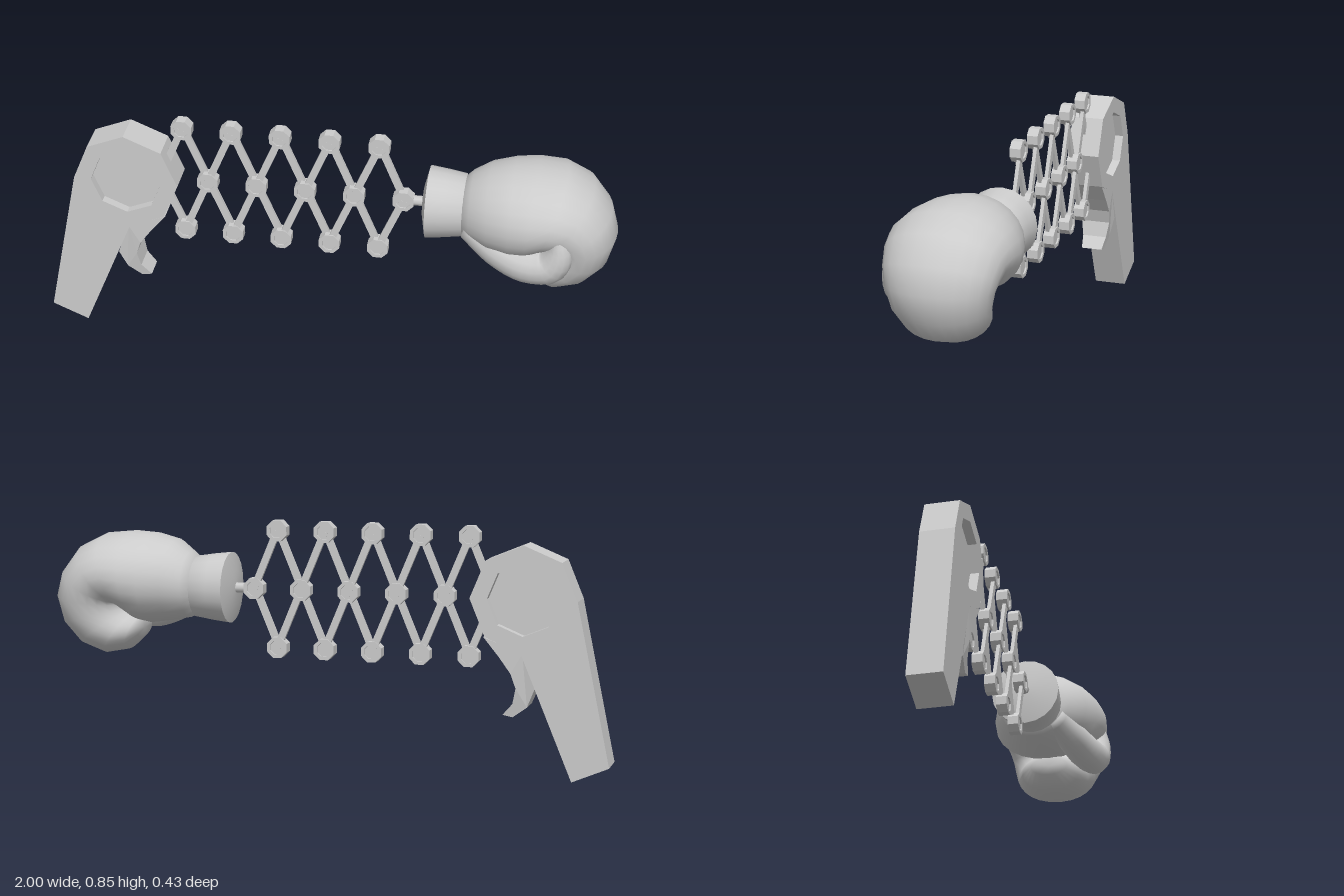
import * as THREE from 'three';

const mat = new THREE.MeshStandardMaterial({ color: 0xcccccc });
const ZC = -0.018; // depth centre of gun and lattice

function add(parent, geo, name, x = 0, y = 0, z = 0) {
  const m = new THREE.Mesh(geo, mat);
  m.name = name;
  m.position.set(x, y, z);
  parent.add(m);
  return m;
}

function ngon(r, n, turn, cx = 0, cy = 0) {
  return Array.from({ length: n }, (_, i) => {
    const a = turn + (i / n) * Math.PI * 2;
    return new THREE.Vector2(cx + r * Math.cos(a), cy + r * Math.sin(a));
  });
}

// Extrusion centred on z = 0
function slab(points, depth, hole) {
  const s = new THREE.Shape(points);
  if (hole) s.holes.push(new THREE.Path(hole));
  const g = new THREE.ExtrudeGeometry(s, { depth, bevelEnabled: false });
  g.translate(0, 0, -depth / 2);
  return g;
}

// Smooth closed skin over a list of rings
function loft(rings) {
  const n = rings[0].length, pos = [], idx = [];
  rings.forEach(r => r.forEach(p => pos.push(p.x, p.y, p.z)));
  for (let i = 0; i < rings.length - 1; i++) {
    for (let j = 0; j < n; j++) {
      const a = i * n + j, b = i * n + (j + 1) % n;
      idx.push(a, b, a + n, b, b + n, a + n);
    }
  }
  [0, rings.length - 1].forEach((ri, end) => {
    const c = rings[ri].reduce((s, p) => s.add(p), new THREE.Vector3()).divideScalar(n);
    const ci = pos.length / 3;
    pos.push(c.x, c.y, c.z);
    for (let j = 0; j < n; j++) {
      const a = ri * n + j, b = ri * n + (j + 1) % n;
      if (end) idx.push(ci, a, b); else idx.push(ci, b, a);
    }
  });
  const g = new THREE.BufferGeometry();
  g.setAttribute('position', new THREE.Float32BufferAttribute(pos, 3));
  g.setIndex(idx);
  g.computeVertexNormals();
  return g;
}

function buildGun() {
  const gun = new THREE.Group();
  gun.name = 'gun';
  const cx = -0.7, cy = 0.612, depth = 0.118;
  // Octagonal head running into the slanted handle
  const v = ngon(0.184, 8, -Math.PI / 4, cx, cy).slice(0, 7);
  v[6] = new THREE.Vector2(-0.694, 0.43);
  v.splice(6, 0, new THREE.Vector2(-1, 0.055), new THREE.Vector2(-0.873, 0));
  add(gun, slab(v, depth, ngon(0.124, 8, 0, cx, cy)), 'headAndHandle', 0, 0, ZC);
  // Floor of the recess on both faces
  add(gun, slab(ngon(0.126, 8, 0, cx, cy), 0.056), 'recessFloor', 0, 0, ZC);
  // Hooked trigger, narrowing towards its tip
  const t = [[-0.565, 0.482], [-0.62, 0.415], [-0.66, 0.36], [-0.677, 0.31], [-0.665, 0.255], [-0.63, 0.215],
    [-0.665, 0.208], [-0.715, 0.245], [-0.742, 0.31], [-0.7, 0.43]].map(p => new THREE.Vector2(...p));
  const g = slab(t, 2);
  const p = g.attributes.position;
  for (let i = 0; i < p.count; i++) {
    const k = THREE.MathUtils.clamp((p.getY(i) - 0.21) / 0.13, 0, 1);
    p.setZ(i, p.getZ(i) * (0.038 + 0.0205 * k));
  }
  g.computeVertexNormals();
  add(gun, g, 'trigger', 0, 0, ZC);
  return gun;
}

function buildLattice() {
  const lattice = new THREE.Group();
  lattice.name = 'scissorLattice';
  const x0 = -0.59, y0 = 0.611, step = 0.171, rise = 0.205;
  const length = Math.hypot(step / 2, rise);
  const bar = new THREE.BoxGeometry(length, 0.025, 0.013);
  const ring = slab(ngon(0.039, 8, Math.PI / 8), 0.039, ngon(0.026, 8, Math.PI / 8));
  const pin = slab(ngon(0.027, 8, Math.PI / 8), 0.027);
  const joint = (x, y) => {
    add(lattice, ring, 'jointRing', x, y, ZC);
    add(lattice, pin, 'jointPin', x, y, ZC);
  };
  for (let i = 0; i < 6; i++) {
    const x = x0 + i * step;
    if (i > 0) joint(x, y0);
    for (const sy of [-1, 1]) {
      if (i < 5) joint(x + step / 2, y0 + sy * rise);
      for (const sx of [-1, 1]) {
        if ((i === 0 && sx < 0) || (i === 5 && sx > 0)) continue;
        const b = add(lattice, bar, 'bar', x + sx * step / 4, y0 + sy * rise / 2, ZC + sx * sy * 0.0075);
        b.rotation.z = Math.atan2(sy * rise, sx * step / 2);
      }
    }
  }
  // Rod joining the last joint to the glove
  const rod = new THREE.CylinderGeometry(0.018, 0.018, 0.07, 8);
  rod.rotateZ(Math.PI / 2);
  add(lattice, rod, 'gloveRod', 0.325, y0, ZC);
  return lattice;
}

function buildGlove() {
  const glove = new THREE.Group();
  glove.name = 'boxingGlove';
  // Flared cuff
  const V = (x, y) => new THREE.Vector2(x, y);
  const wall = new THREE.LatheGeometry([V(0.125, 0), V(0.118, 0.06), V(0.108, 0.125), V(0.085, 0.135)], 20);
  const back = new THREE.LatheGeometry([V(0, -0.018), V(0.06, -0.015), V(0.125, 0)], 20);
  for (const [g, name] of [[wall, 'cuff'], [back, 'cuffBack']]) {
    g.rotateZ(-Math.PI / 2);
    add(glove, g, name, 0.35, 0.611, -0.02);
  }
  // Mitten curling over to the fingertips: outer x, y, inner x, y, half width
  const stations = [
    [0.46, 0.70, 0.46, 0.52, 0.09], [0.50, 0.735, 0.50, 0.50, 0.13], [0.56, 0.775, 0.57, 0.485, 0.172],
    [0.64, 0.795, 0.64, 0.475, 0.198], [0.72, 0.80, 0.69, 0.485, 0.21], [0.82, 0.79, 0.72, 0.51, 0.21],
    [0.91, 0.745, 0.735, 0.53, 0.2], [0.975, 0.66, 0.74, 0.54, 0.19], [1.0, 0.57, 0.74, 0.54, 0.178],
    [0.975, 0.47, 0.735, 0.53, 0.165], [0.91, 0.395, 0.725, 0.52, 0.15], [0.82, 0.36, 0.71, 0.51, 0.135],
    [0.74, 0.375, 0.69, 0.50, 0.11], [0.69, 0.42, 0.68, 0.485, 0.07]];
  const N = 24;
  const rings = stations.map(([ox, oy, ix, iy, w], s) => Array.from({ length: N }, (_, j) => {
    const a = (j / N) * Math.PI * 2, k = (1 + Math.cos(a)) / 2;
    const zc = s < 2 ? -0.018 : -0.006;
    return new THREE.Vector3(ix + (ox - ix) * k, iy + (oy - iy) * k, zc + w * Math.sin(a));
  }));
  add(glove, loft(rings), 'mitten');
  // Thumb along the lower side, bending up at its tip
  const path = new THREE.CatmullRomCurve3([[0.5, 0.57, 0.05], [0.6, 0.525, 0.1], [0.7, 0.5, 0.135],
    [0.785, 0.515, 0.15], [0.813, 0.58, 0.163], [0.8, 0.66, 0.172]].map(p => new THREE.Vector3(...p)));
  const radii = [0.045, 0.058, 0.064, 0.064, 0.046, 0.012];
  const M = 20, frames = path.computeFrenetFrames(M);
  const thumb = [];
  for (let i = 0; i <= M; i++) {
    const u = i / M, c = path.getPointAt(u);
    const f = path.getUtoTmapping(u) * 5, k = Math.min(Math.floor(f), 4);
    const r = THREE.MathUtils.lerp(radii[k], radii[k + 1], f - k);
    thumb.push(Array.from({ length: 14 }, (_, j) => {
      const a = (j / 14) * Math.PI * 2;
      return c.clone().addScaledVector(frames.normals[i], r * Math.cos(a))
        .addScaledVector(frames.binormals[i], r * Math.sin(a));
    }));
  }
  add(glove, loft(thumb), 'thumb');
  return glove;
}

export function createModel() {
  const model = new THREE.Group();
  model.name = 'extendingGloveGun';
  model.add(buildGun(), buildLattice(), buildGlove());
  return model;
}
